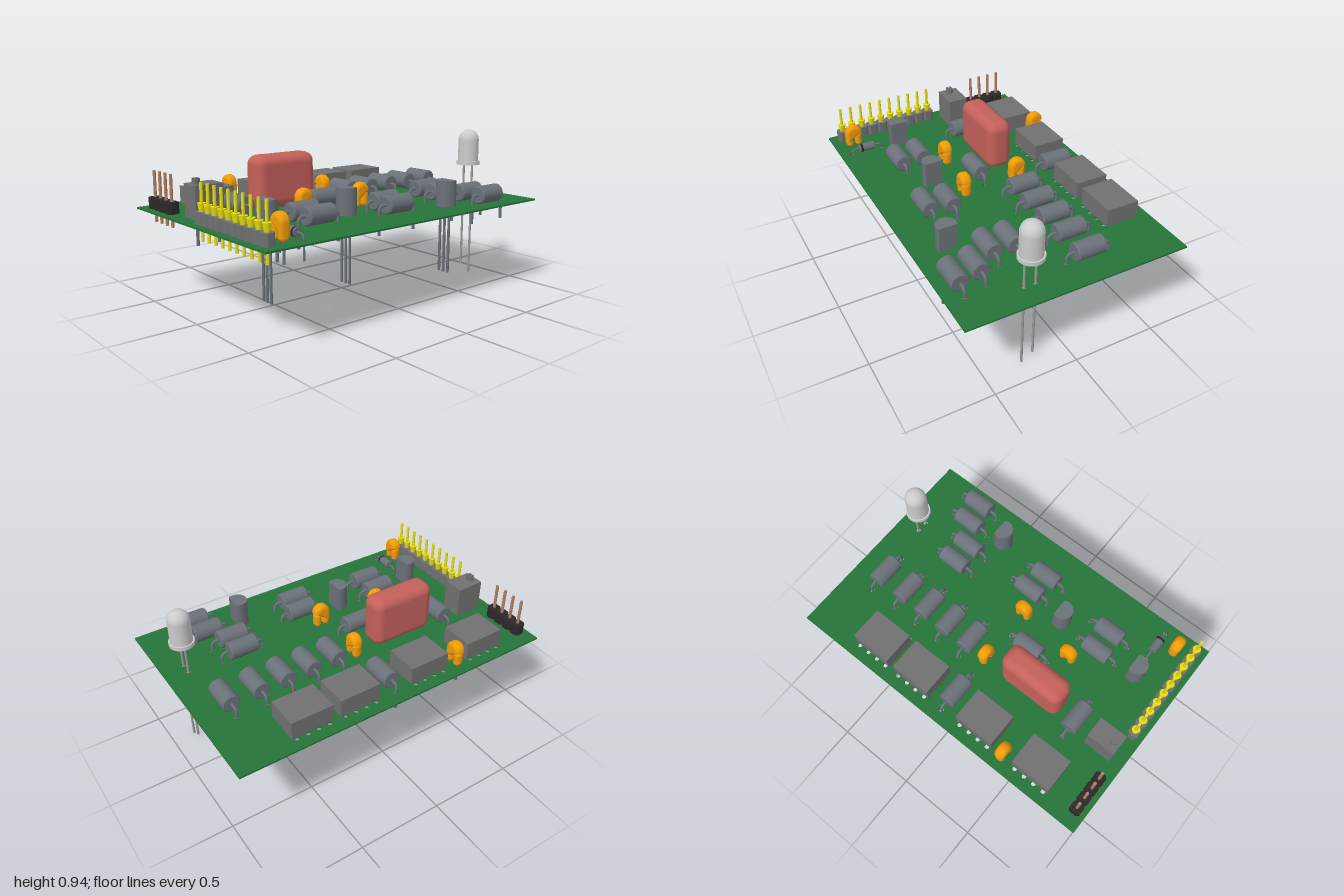
import * as THREE from 'three';
import { RoundedBoxGeometry } from 'three/addons/geometries/RoundedBoxGeometry.js';

const mat = (color) => new THREE.MeshStandardMaterial({ color });
const TOP = 0.533, BOTTOM = 0.523, SEAT = 0.536;

export function createModel() {
  const root = new THREE.Group();
  const M = {
    board: mat(0x267339), grey: mat(0x707070), steel: mat(0x6a7178), lens: mat(0xcccccc), wire: mat(0x999999),
    red: mat(0xc4605a), orange: mat(0xf09c08), yellow: mat(0xe8e010), black: mat(0x2c282a), copper: mat(0xb08060),
  };
  const holes = [];

  const add = (parent, name, geometry, material, x = 0, y = 0, z = 0) => {
    const m = new THREE.Mesh(geometry, material);
    m.name = name;
    m.position.set(x, y, z);
    parent.add(m);
    return m;
  };
  const part = (name) => {
    const g = new THREE.Group();
    g.name = name;
    root.add(g);
    return g;
  };
  const box = (p, name, w, h, d, material, x, y, z) => add(p, name, new THREE.BoxGeometry(w, h, d), material, x, y, z);
  // Straight pin through the board, which also gets a drilled hole
  const pin = (p, x, z, y0, y1, r, material) => {
    holes.push([x, z]);
    return add(p, 'pin', new THREE.CylinderGeometry(r, r, y1 - y0, 10), material, x, (y0 + y1) / 2, z);
  };

  // Axial part: turned body with two bent leads, along x or z
  function axial(name, x, z, alongZ, { r, len, span, y, wire, low }) {
    const g = part(name);
    const h = len / 2, b = r * 0.12, bend = 0.03;
    const pts = [[0, -h], [r - b, -h], [r, -h + b], [r, h - b], [r - b, h], [0, h]]
      .map(([a, c]) => new THREE.Vector2(a, c));
    const profile = new THREE.LatheGeometry(pts, 28).toNonIndexed();
    profile.computeVertexNormals();
    const body = add(g, 'body', smoothLathe(pts), M.steel, x, y, z);
    if (alongZ) body.rotation.x = Math.PI / 2; else body.rotation.z = Math.PI / 2;
    for (const s of [-1, 1]) {
      const P = (d, yy) => new THREE.Vector3(x + (alongZ ? 0 : s * d), yy, z + (alongZ ? s * d : 0));
      const path = new THREE.CurvePath();
      const e = span / 2;
      path.add(new THREE.LineCurve3(P(h - 0.01, y), P(e - bend, y)));
      path.add(new THREE.QuadraticBezierCurve3(P(e - bend, y), P(e, y), P(e, y - bend)));
      path.add(new THREE.LineCurve3(P(e, y - bend), P(e, BOTTOM)));
      add(g, 'bentLead', new THREE.TubeGeometry(path, 20, wire, 8), M.steel);
      const end = P(e, 0);
      pin(g, end.x, end.z, low, BOTTOM + 0.002, wire, M.steel);
    }
    return g;
  }
  // Lathe with doubled corner points so the rims stay crisp
  function smoothLathe(pts) {
    const out = [];
    pts.forEach((p, i) => {
      if (i > 0) out.push(p.clone().lerp(pts[i - 1], 0.02));
      out.push(p);
      if (i < pts.length - 1) out.push(p.clone().lerp(pts[i + 1], 0.02));
    });
    return new THREE.LatheGeometry(out, 28);
  }

  // Resistors
  const resistor = { r: 0.053, len: 0.176, span: 0.264, y: 0.59, wire: 0.009, low: 0.425 };
  for (const [x, z] of [[-0.631, -0.15], [0.134, -0.15], [0.3, -0.15], [0.465, -0.15], [0.631, -0.15], [0.813, -0.15], [0, -0.458]])
    axial('resistor', x, z, true, resistor);
  for (const [x, z] of [[-0.16, 0.012], [-0.48, 0.247], [-0.474, 0.381], [0.062, 0.305], [0.037, 0.434],
    [0.535, 0.17], [0.535, 0.301], [0.636, 0.43], [0.663, 0.562]])
    axial('resistor', x, z, false, resistor);

  // Small diode with a dark band
  const diode = axial('diode', -0.733, 0.497, true, { r: 0.026, len: 0.1, span: 0.2, y: 0.563, wire: 0.006, low: 0.43 });
  const band = add(diode, 'band', new THREE.CylinderGeometry(0.0265, 0.0265, 0.014, 28), M.black, -0.733, 0.563, 0.532);
  band.rotation.x = Math.PI / 2;

  // Chips over two rows of empty holes
  for (const x of [-0.635, -0.235, 0.232, 0.532]) {
    box(part('chip'), 'chipBody', 0.252, 0.108, 0.2, M.grey, x, 0.589, -0.486);
    for (const dx of [-0.1, -0.033, 0.033, 0.1]) for (const z of [-0.592, -0.381]) holes.push([x + dx, z]);
  }

  // Drop capacitors: rounded arch on two swollen legs
  const arch = new THREE.Shape();
  arch.moveTo(0.052, 0.028);
  arch.absarc(0, 0.093, 0.052, 0, Math.PI);
  arch.lineTo(-0.052, 0.028);
  const archGeo = new THREE.ExtrudeGeometry(arch, {
    depth: 0.016, bevelThickness: 0.024, bevelSize: 0.024, bevelOffset: -0.024, bevelSegments: 5, curveSegments: 20,
  }).translate(0, 0, -0.008);
  for (const [x, z, turned] of [[-0.433, -0.567, 1], [0, -0.187, 1], [-0.834, 0.545, 1], [-0.369, 0.112, 0], [0, 0.166, 0]]) {
    const g = part('dropCapacitor');
    const body = add(g, 'body', archGeo, M.orange, x, SEAT, z);
    if (turned) body.rotation.y = Math.PI / 2;
    for (const s of [-0.028, 0.028]) {
      const px = x + (turned ? 0 : s), pz = z + (turned ? s : 0);
      const leg = add(g, 'leg', new THREE.CapsuleGeometry(0.022, 0.05, 5, 14), M.orange, px, SEAT + 0.047, pz);
      leg.scale.set(turned ? 1.3 : 1, 1, turned ? 1 : 1.3);
      pin(g, px, pz, 0.425, 0.56, 0.008, M.steel);
    }
  }

  // Large box capacitor
  const film = part('boxCapacitor');
  add(film, 'body', new RoundedBoxGeometry(0.405, 0.308, 0.156, 5, 0.055), M.red, -0.333, 0.692, -0.154);
  for (const s of [-1, 1]) pin(film, -0.333 + s * 0.15, -0.154, 0.43, 0.58, 0.009, M.steel);

  // Trimmer with slotted screw
  const trimmer = part('trimmer');
  box(trimmer, 'body', 0.172, 0.188, 0.125, M.grey, -0.834, 0.629, -0.168);
  add(trimmer, 'screw', new THREE.CylinderGeometry(0.023, 0.023, 0.026, 20), M.grey, -0.88, 0.734, -0.168);
  for (const s of [-1, 1]) {
    box(trimmer, 'screwRidge', 0.034, 0.008, 0.012, M.grey, -0.88, 0.751, -0.168 + s * 0.011);
  }
  for (const [x, z] of [[-0.9, -0.134], [-0.834, -0.2], [-0.767, -0.134]]) pin(trimmer, x, z, 0.39, 0.55, 0.009, M.steel);

  // Transistors: round case with a flat on +x, three long legs
  const dee = new THREE.Shape();
  dee.absarc(0, 0, 0.06, 1.1, 2 * Math.PI - 1.1);
  dee.closePath();
  const deeGeo = new THREE.ExtrudeGeometry(dee, { depth: 0.154, bevelEnabled: false, curveSegments: 24 }).rotateX(-Math.PI / 2);
  for (const [x, z] of [[-0.727, 0.28], [-0.196, 0.28], [0.402, 0.472]]) {
    const g = part('transistor');
    add(g, 'case', deeGeo, M.steel, x, SEAT, z);
    for (const dz of [-0.034, 0, 0.034]) pin(g, x - 0.008, z + dz, 0.139, 0.55, 0.008, M.steel);
  }

  // Lamp: domed lens, flange and two uneven leads
  const lamp = part('lamp');
  const lens = [[0, 0.714], [0.073, 0.714], [0.073, 0.737], [0.064, 0.737], [0.064, 0.872]].map(([r, y]) => new THREE.Vector2(r, y));
  add(lamp, 'base', smoothLathe(lens), M.lens, 0.866, 0, 0.232);
  add(lamp, 'dome', new THREE.SphereGeometry(0.064, 28, 12, 0, Math.PI * 2, 0, Math.PI / 2), M.lens, 0.866, 0.872, 0.232);
  pin(lamp, 0.866, 0.268, 0, 0.72, 0.007, M.wire);
  pin(lamp, 0.866, 0.2, 0.043, 0.72, 0.007, M.wire);

  // Pin headers: a row of chamfered blocks with pins
  function header(name, x, z0, pitch, count, width, blockMat, pinMat, y0, collar) {
    const g = part(name);
    const a = width / 2, b = pitch / 2, c = 0.014;
    const s = new THREE.Shape([[-a, -b + c], [-a + c, -b], [a - c, -b], [a, -b + c], [a, b - c], [a - c, b], [-a + c, b], [-a, b - c]]
      .map(([u, v]) => new THREE.Vector2(u, v)));
    const block = new THREE.ExtrudeGeometry(s, { depth: 0.066, bevelEnabled: false }).rotateX(-Math.PI / 2);
    for (let i = 0; i < count; i++) {
      const z = z0 + i * pitch;
      add(g, 'block', block, blockMat, x, SEAT, z);
      pin(g, x, z, y0, 0.757, 0.009, pinMat);
      if (collar) add(g, 'collar', new THREE.CylinderGeometry(0.023, 0.016, 0.046, 16), pinMat, x, 0.625, z);
    }
  }
  header('longHeader', -0.934, -0.018, 0.0669, 10, 0.062, M.grey, M.yellow, 0.445, true);
  header('shortHeader', -0.934, -0.554, 0.0667, 4, 0.068, M.black, M.copper, 0.456, false);

  // Board, drilled where every pin passes
  const outline = new THREE.Shape([[-1, -0.665], [1, -0.665], [1, 0.665], [-1, 0.665]].map(([x, y]) => new THREE.Vector2(x, y)));
  for (const [x, z] of holes) outline.holes.push(new THREE.Path().absarc(x, -z, 0.0135, 0, Math.PI * 2, true));
  const boardGeo = new THREE.ExtrudeGeometry(outline, { depth: TOP - BOTTOM, bevelEnabled: false, curveSegments: 6 });
  add(root, 'board', boardGeo.rotateX(-Math.PI / 2), M.board, 0, BOTTOM, 0);

  return root;
}
